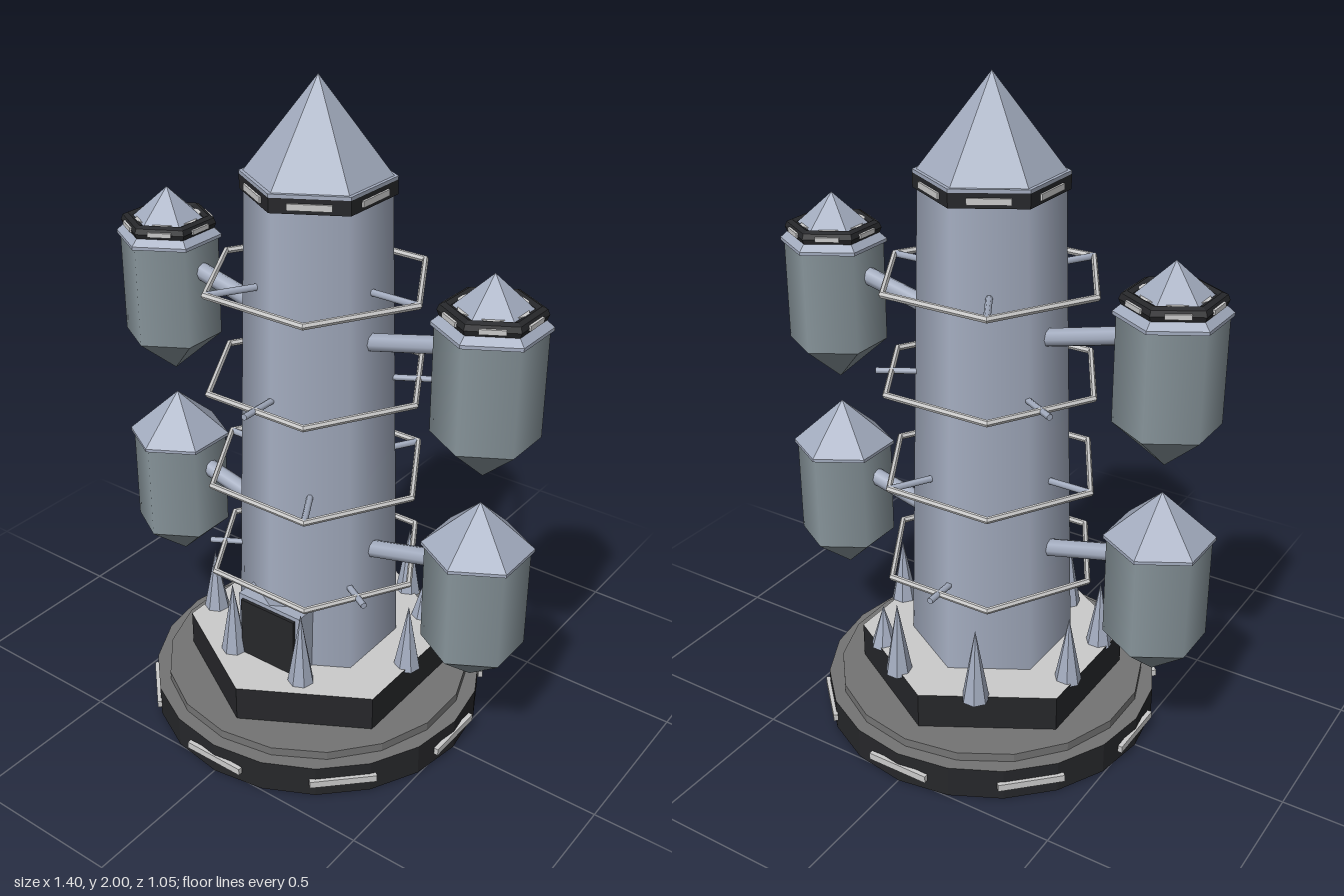
import * as THREE from 'three';

const mat = (color, flatShading = true) => new THREE.MeshStandardMaterial({ color, flatShading });
const steel = mat(0xa4adc0), steelSmooth = mat(0xa4adc0, false);
const tankSmooth = mat(0x87949a, false), tankFlat = mat(0x87949a);
const dark = mat(0x26272a), grey = mat(0x747474), pale = mat(0xcccccc);

function add(parent, name, geometry, material, x = 0, y = 0, z = 0) {
  const mesh = new THREE.Mesh(geometry, material);
  mesh.name = name;
  mesh.position.set(x, y, z);
  parent.add(mesh);
  return mesh;
}

// Upright prism or cone between two heights
function prism(parent, name, rTop, rBottom, y0, y1, sides, material, x = 0, z = 0) {
  const geo = new THREE.CylinderGeometry(rTop, rBottom, y1 - y0, sides);
  return add(parent, name, geo, material, x, (y0 + y1) / 2, z);
}

// Round bar between two points
function bar(parent, name, a, b, radius, sides = 8) {
  const dir = b.clone().sub(a);
  const mesh = add(parent, name, new THREE.CylinderGeometry(radius, radius, dir.length(), sides), steelSmooth);
  mesh.position.copy(a).add(b).multiplyScalar(0.5);
  mesh.quaternion.setFromUnitVectors(new THREE.Vector3(0, 1, 0), dir.normalize());
}

// Light panels spaced evenly around a band
function panels(parent, count, start, distance, y, width, height) {
  for (let i = 0; i < count; i++) {
    const a = start + (i * Math.PI * 2) / count;
    const p = add(parent, 'lightPanel', new THREE.BoxGeometry(width, height, 0.014), pale,
      Math.sin(a) * distance, y, Math.cos(a) * distance);
    p.rotation.y = a;
  }
}

// Hexagonal tank with pointed ends, its lower tip at y
function makeTank(x, y, crowned) {
  const tank = new THREE.Group();
  tank.name = crowned ? 'upperTank' : 'lowerTank';
  tank.position.set(x, y, 0);
  prism(tank, 'tankBottom', 0.15, 0, 0, 0.13, 6, tankFlat);
  prism(tank, 'tankBody', 0.15, 0.15, 0.13, 0.45, 6, tankSmooth);
  prism(tank, 'tankRim', 0.16, 0.16, 0.443, 0.453, 6, steel);
  prism(tank, 'tankRoof', 0, 0.16, 0.453, 0.595, 6, steel);
  if (crowned) {
    const ring = add(tank, 'crownRing', new THREE.TorusGeometry(0.123, 0.022, 8, 6), dark, 0, 0.487, 0);
    ring.rotation.set(Math.PI / 2, 0, Math.PI / 2);
    const plate = prism(tank, 'crownPlate', 0.105, 0.105, 0.495, 0.505, 6, pale);
    plate.rotation.y = Math.PI / 6;
    panels(tank, 6, Math.PI / 6, 0.123, 0.488, 0.07, 0.014);
  }
  return tank;
}

export function createModel() {
  const model = new THREE.Group();
  model.name = 'tower';

  // Stepped base
  prism(model, 'baseDisc', 0.52, 0.52, 0, 0.1, 20, [dark, grey, dark]);
  prism(model, 'baseStep', 0.48, 0.48, 0.1, 0.127, 18, grey);
  prism(model, 'platform', 0.41, 0.41, 0.127, 0.24, 6, [dark, pale, dark]);
  panels(model, 8, 0, 0.518, 0.05, 0.2, 0.022);

  // Shaft, top band and roof
  prism(model, 'shaft', 0.205, 0.25, 0.24, 1.69, 6, steelSmooth);
  prism(model, 'topBand', 0.217, 0.217, 1.68, 1.722, 6, dark);
  panels(model, 6, Math.PI / 6, 0.187, 1.7, 0.12, 0.018);
  prism(model, 'roofRim', 0.217, 0.217, 1.722, 1.732, 6, steel);
  prism(model, 'roof', 0, 0.207, 1.73, 2, 6, steel);

  // Doorway and frame
  add(model, 'door', new THREE.BoxGeometry(0.2, 0.195, 0.12), dark, 0, 0.337, 0.198);
  add(model, 'doorLintel', new THREE.BoxGeometry(0.23, 0.014, 0.1), steel, 0, 0.441, 0.198);
  for (const s of [-1, 1]) {
    add(model, 'doorPost', new THREE.BoxGeometry(0.014, 0.2, 0.1), steel, s * 0.107, 0.34, 0.198);
  }

  // Hoops, each held by three spokes
  for (let i = 0; i < 4; i++) {
    const y = 0.53 + i * 0.3;
    const hoop = add(model, 'hoop', new THREE.TorusGeometry(0.336, 0.01, 6, 6), pale, 0, y, 0);
    hoop.rotation.x = Math.PI / 2;
    for (let k = 0; k < 3; k++) {
      const a = Math.PI / 6 + (i * Math.PI) / 6 + (k * Math.PI * 2) / 3;
      const at = (r) => new THREE.Vector3(Math.cos(a) * r, y, Math.sin(a) * r);
      bar(model, 'hoopSpoke', at(0.18), at(0.337), 0.01, 6);
    }
  }

  // Side tanks on sloping arms
  for (const s of [-1, 1]) {
    for (const [y, crowned] of [[0.305, false], [0.985, true]]) {
      model.add(makeTank(s * 0.56, y, crowned));
      bar(model, 'tankArm', new THREE.Vector3(s * 0.17, y + 0.292, 0),
        new THREE.Vector3(s * 0.435, y + 0.357, 0), 0.027);
    }
  }

  // Spikes on the platform: x, z, height
  const spikes = [
    [-0.13, 0.26, 0.25], [0.13, 0.26, 0.25], [-0.32, 0.12, 0.22], [-0.33, -0.095, 0.22],
    [-0.145, -0.32, 0.24], [0.125, -0.33, 0.24], [0.245, -0.24, 0.14], [0.34, 0, 0.22],
  ];
  for (const [x, z, h] of spikes) prism(model, 'spike', 0, 0.042, 0.23, 0.23 + h, 7, steel, x, z);

  return model;
}
